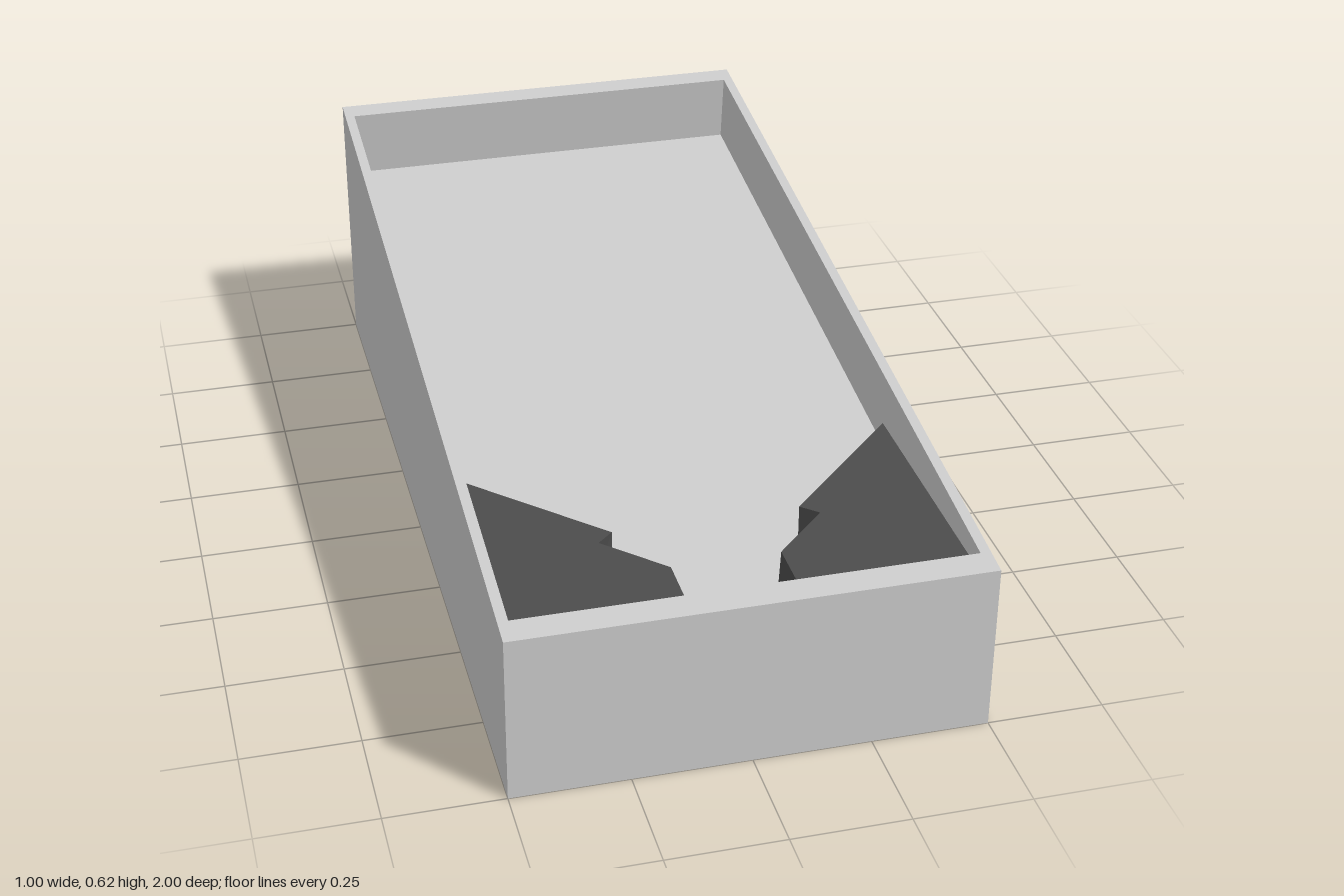
import * as THREE from 'three';

const rimY = (z) => 0.4975 - 0.1225 * z;   // sloping top edge of the cabinet
const floorY = (z) => rimY(z) - 0.165;     // playfield, parallel to the rim

// Skin a stack of rings (each counter-clockwise from above) and cap both ends.
function loft(rings) {
  const pos = [];
  const tri = (...pts) => pts.forEach((p) => pos.push(...p));
  const n = rings[0].length;
  for (let r = 0; r < rings.length - 1; r++) {
    const a = rings[r], b = rings[r + 1];
    for (let i = 0; i < n; i++) {
      const j = (i + 1) % n;
      tri(a[i], a[j], b[j]);
      tri(a[i], b[j], b[i]);
    }
  }
  const cap = (ring, up) => {
    const outline = ring.map(([x, , z]) => new THREE.Vector2(x, -z));
    for (const [a, b, c] of THREE.ShapeUtils.triangulateShape(outline, [])) {
      if (up) tri(ring[a], ring[b], ring[c]);
      else tri(ring[a], ring[c], ring[b]);
    }
  };
  cap(rings[0], false);
  cap(rings[rings.length - 1], true);
  const geo = new THREE.BufferGeometry();
  geo.setAttribute('position', new THREE.Float32BufferAttribute(pos, 3));
  geo.computeVertexNormals();
  return geo;
}

// Four corners of a rectangle whose height follows heightAt(z).
const rect = (w, front, back, heightAt) =>
  [[-w, front], [w, front], [w, back], [-w, back]].map(([x, z]) => [x, heightAt(z), z]);

export function createModel() {
  const group = new THREE.Group();
  const grey = new THREE.MeshStandardMaterial({ color: 0xcccccc, flatShading: true });
  const dark = new THREE.MeshStandardMaterial({ color: 0x4c4c4c, flatShading: true });

  // Wedge cabinet with a tilted tray sunk into its top
  const cabinet = new THREE.Mesh(loft([
    rect(0.5, 1, -1, () => 0),
    rect(0.5, 1, -1, rimY),
    rect(0.478, 0.942, -0.95, rimY),
    rect(0.478, 0.922, -0.97, floorY),
  ]), grey);
  cabinet.name = 'cabinet';
  group.add(cabinet);

  // Level-topped guide blocks in the front corners: x, z at the top, z at the base
  const outline = [
    [0.478, 0.937, 0.922], [0.478, 0.35, 0.35], [0.2, 0.63, 0.63],
    [0.235, 0.662, 0.648], [0.115, 0.782, 0.768], [0.115, 0.937, 0.922],
  ];
  for (const side of [1, -1]) {
    const pts = side > 0 ? outline : [...outline].reverse();
    const block = new THREE.Mesh(loft([
      pts.map(([x, , z]) => [side * x, floorY(z), z]),
      pts.map(([x, z]) => [side * x, 0.34, z]),
    ]), dark);
    block.name = side > 0 ? 'leftGuideBlock' : 'rightGuideBlock';
    group.add(block);
  }
  return group;
}
